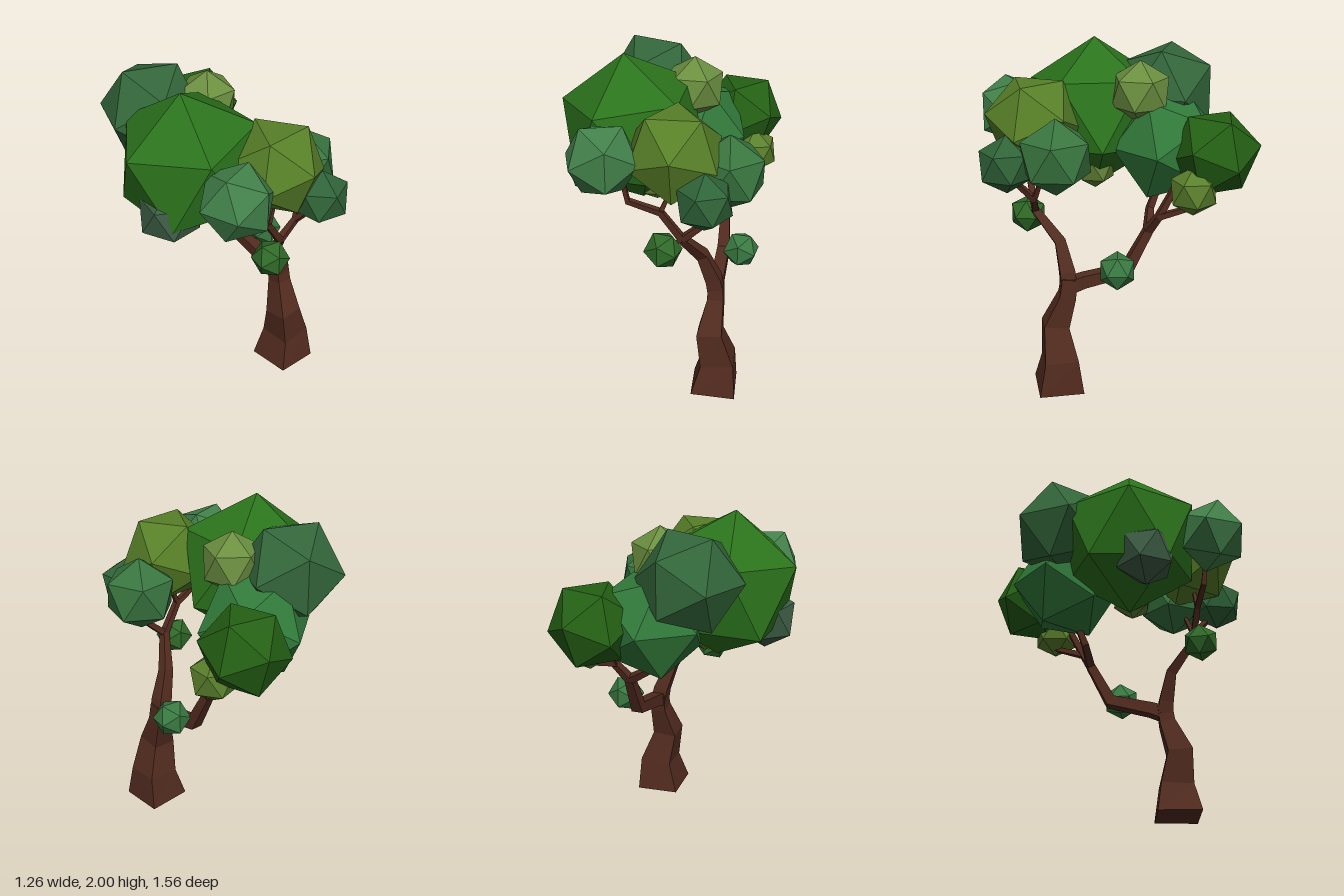
import * as THREE from 'three';

// Tilt of the built-in icosahedron that puts an edge, a corner or a face on top
const TILT = { edge: 0, corner: 0.554, face: 1.206 };

// Leaf clump: a faceted ball, leaned a little, then turned about the vertical by spin degrees
function clump(name, color, center, r, top, spin, lean = 0) {
  const geo = new THREE.IcosahedronGeometry(r, 0);
  geo.rotateZ(-TILT[top] - lean).rotateY(-THREE.MathUtils.degToRad(spin));
  const mesh = new THREE.Mesh(geo, new THREE.MeshStandardMaterial({ color, flatShading: true }));
  mesh.position.set(...center);
  mesh.name = name;
  return mesh;
}

// Four-sided limb along points, its half width at point i given by widths[i]
function limb(name, points, widths, material) {
  const path = points.map((p) => new THREE.Vector3(...p));
  const side = new THREE.Vector3(1, 0, 0);
  const pos = [], index = [], last = path.length - 1;
  path.forEach((p, i) => {
    const t = path[Math.min(i + 1, last)].clone().sub(path[Math.max(i - 1, 0)]).normalize();
    side.addScaledVector(t, -side.dot(t)).normalize();
    const b = t.clone().cross(side);
    for (const [sa, sb] of [[1, 1], [-1, 1], [-1, -1], [1, -1]]) {
      const c = p.clone().addScaledVector(side, sa * widths[i]).addScaledVector(b, sb * widths[i]);
      pos.push(c.x, Math.max(c.y, 0), c.z);
    }
    if (i < last) for (let j = 0; j < 4; j++) {
      const k = i * 4 + j, n = i * 4 + (j + 1) % 4;
      index.push(k, n, n + 4, k, n + 4, k + 4);
    }
  });
  const e = last * 4;
  index.push(0, 2, 1, 0, 3, 2, e, e + 1, e + 2, e, e + 2, e + 3);
  const indexed = new THREE.BufferGeometry();
  indexed.setAttribute('position', new THREE.Float32BufferAttribute(pos, 3));
  indexed.setIndex(index);
  const geo = indexed.toNonIndexed();
  geo.computeVertexNormals();
  const mesh = new THREE.Mesh(geo, material);
  mesh.name = name;
  return mesh;
}

export function createModel() {
  const tree = new THREE.Group();
  tree.name = 'tree';
  const bark = new THREE.MeshStandardMaterial({ color: 0x522b1f, flatShading: true });

  // Trunk and the two main branches
  const trunkFork = [0.305, 0.65, 0.29], frontFork = [0.12, 1.07, 0.455], backFork = [0.325, 0.97, -0.175];
  tree.add(
    limb('trunk', [[0.31, 0, 0.355], [0.33, 0.2, 0.35], [0.28, 0.4, 0.368], [0.307, 0.59, 0.3], [0.305, 0.7, 0.285]],
      [0.132, 0.098, 0.074, 0.048, 0.045], bark),
    limb('frontBranch', [trunkFork, [0.29, 0.73, 0.295], [0.225, 0.9, 0.325], frontFork],
      [0.046, 0.044, 0.032, 0.022], bark),
    limb('backBranch', [trunkFork, [0.31, 0.68, 0.2], [0.325, 0.735, -0.05], backFork],
      [0.042, 0.038, 0.036, 0.026], bark),
  );

  // Twigs, tapering evenly
  const leftKnee = [0, 1.24, 0.47], rightKnee = [0.23, 1.17, 0.47], backKnee = [0.4, 1.08, -0.22];
  const twigs = [
    ['frontLeftTwig', 0.02, [frontFork, leftKnee, [-0.18, 1.31, 0.49], [-0.2, 1.42, 0.5]]],
    ['middleTwig', 0.014, [leftKnee, [0.06, 1.38, 0.46]]],
    ['frontRightTwig', 0.02, [frontFork, rightKnee, [0.28, 1.32, 0.6]]],
    ['sideTwig', 0.015, [rightKnee, [0.3, 1.32, 0.43]]],
    ['lowFrontTwig', 0.013, [frontFork, [0.03, 1.02, 0.48]]],
    ['backLeftTwig', 0.024, [backFork, [0.19, 1.06, -0.215], [0.16, 1.24, -0.29]]],
    ['backRightTwig', 0.024, [backFork, backKnee, [0.4, 1.3, -0.34]]],
    ['backLowTwig', 0.018, [backKnee, [0.46, 1.15, -0.42]]],
    ['lowSideTwig', 0.014, [[0.325, 0.735, -0.02], [0.43, 0.78, 0.02]]],
  ];
  for (const [name, w, points] of twigs) {
    const widths = points.map((p, i) => w * (1 - 0.35 * i / (points.length - 1)));
    tree.add(limb(name, points, widths, bark));
  }

  // Foliage: name, colour, centre, radius, what points up, spin, lean
  const clumps = [
    ['crownClump', 0x2b731c, [-0.207, 1.56, 0.04], 0.445, 'corner', 184, 0.12],
    ['frontClump', 0x578028, [0.075, 1.59, 0.445], 0.285, 'face', 30],
    ['frontLeftClump', 0x42804a, [-0.31, 1.57, 0.53], 0.22, 'edge', -15],
    ['frontRightClump', 0x39753f, [0.37, 1.455, 0.36], 0.222, 'corner', 15],
    ['frontLowClump', 0x2f6338, [0.255, 1.395, 0.625], 0.17, 'corner', 32],
    ['backRightClump', 0x246014, [0.39, 1.44, -0.545], 0.26, 'face', -15],
    ['backTopClump', 0x33663a, [-0.12, 1.69, -0.375], 0.31, 'edge', 24],
    ['backMiddleClump', 0x31793a, [0.115, 1.42, -0.335], 0.335, 'edge', 55],
    ['topClump', 0x6b8f40, [0.125, 1.745, -0.165], 0.185, 'corner', -85],
    ['backLowClump', 0x5a7f2c, [0.48, 1.25, -0.4], 0.145, 'corner', 40],
    ['smallFrontClump', 0x2f6a28, [0.015, 1.01, 0.485], 0.113, 'edge', 15],
    ['smallSideClump', 0x3a7a42, [0.435, 0.78, 0.025], 0.113, 'edge', 10],
    ['lowLeftClump', 0x3d5c45, [-0.425, 1.355, 0.12], 0.19, 'corner', 160],
    ['lowMiddleClump', 0x5f7f35, [-0.07, 1.245, 0.065], 0.125, 'corner', 20],
  ];
  for (const c of clumps) tree.add(clump(...c));
  return tree;
}
